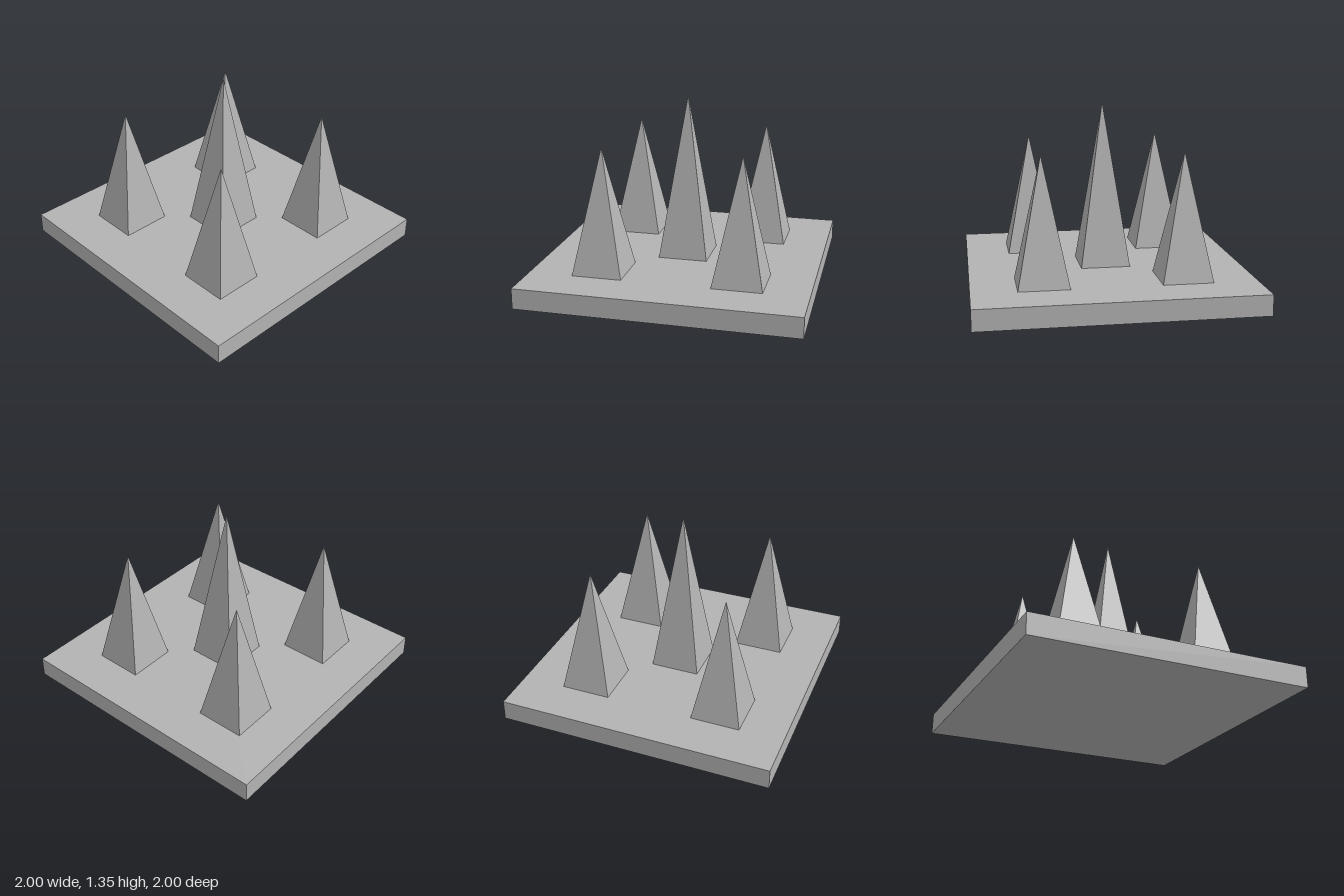
import * as THREE from 'three';

const BASE_HEIGHT = 0.15;
const SPIKE_HALF_WIDTH = 0.18;

export function createModel() {
  const group = new THREE.Group();
  group.name = 'spikePlate';

  const grey = new THREE.MeshStandardMaterial({ color: 0xb3b3b3 });
  grey.name = 'stone grey';

  // Square base slab
  const base = new THREE.Mesh(new THREE.BoxGeometry(2, BASE_HEIGHT, 2), grey);
  base.name = 'baseSlab';
  base.position.y = BASE_HEIGHT / 2;
  group.add(base);

  // Four-sided spike with its sides square to the slab and flat normals
  function addSpike(name, x, z, height) {
    const geometry = new THREE.ConeGeometry(SPIKE_HALF_WIDTH * Math.SQRT2, height, 4, 1)
      .rotateY(Math.PI / 4)
      .toNonIndexed();
    geometry.computeVertexNormals();
    const spike = new THREE.Mesh(geometry, grey);
    spike.name = name;
    spike.position.set(x, BASE_HEIGHT + height / 2, z);
    group.add(spike);
  }

  // Tall centre spike and four shorter corner spikes
  addSpike('centreSpike', 0, 0, 1.2);
  for (const x of [-0.5, 0.5]) {
    for (const z of [-0.5, 0.5]) {
      addSpike(`${z > 0 ? 'front' : 'back'}${x > 0 ? 'Left' : 'Right'}Spike`, x, z, 0.9);
    }
  }

  return group;
}
